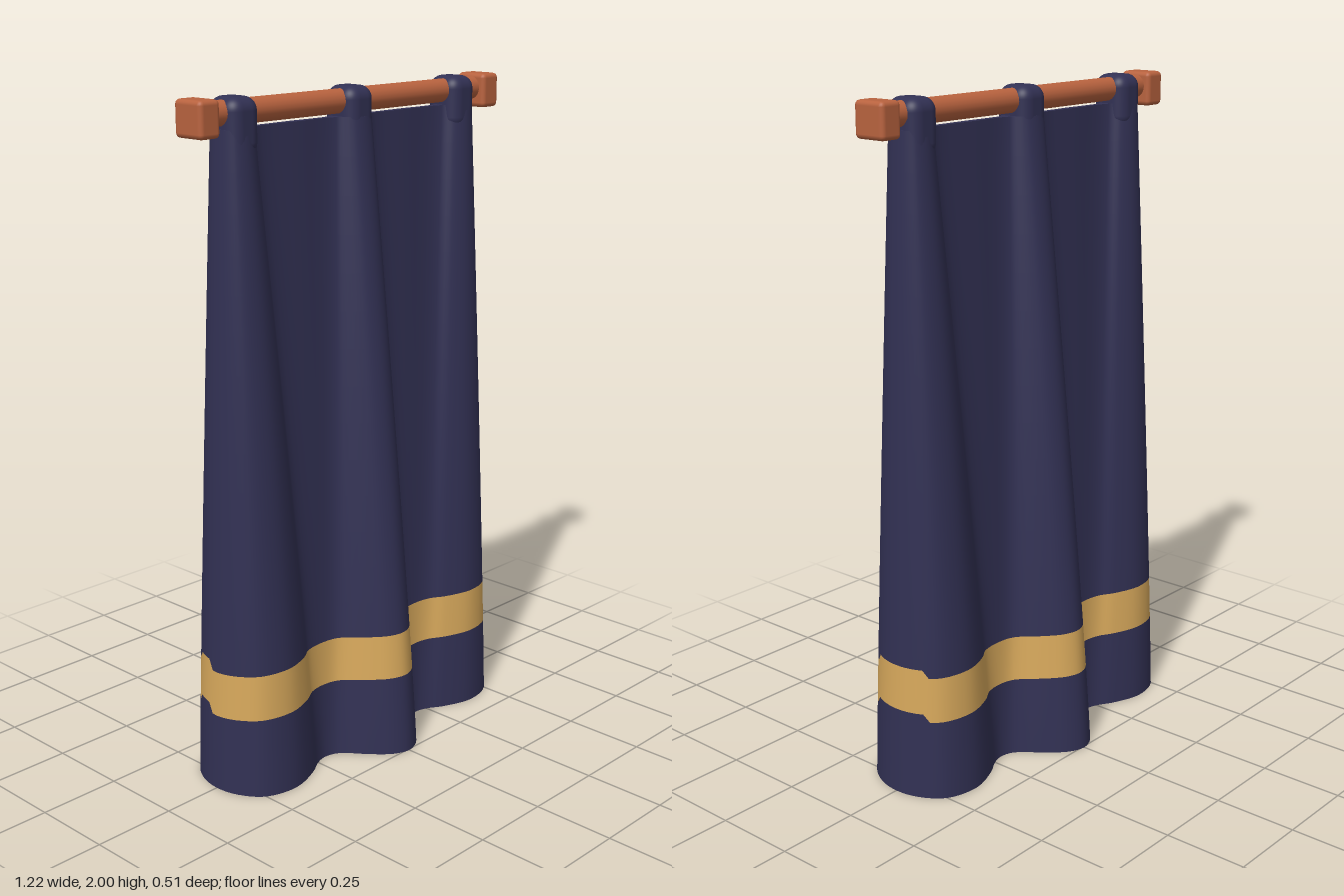
import * as THREE from 'three';
import { RoundedBoxGeometry } from 'three/addons/geometries/RoundedBoxGeometry.js';

const TOP = 1.915; // height of the cloth edge between the loops

// One quarter of the cloth outline: [x, z at the hem, x, z at the top]
const QUARTER = [
  [0.565, 0, 0.505, 0],
  [0.55, 0.075, 0.5, 0.03],
  [0.5, 0.143, 0.485, 0.05],
  [0.4, 0.168, 0.448, 0.058],
  [0.3, 0.137, 0.41, 0.044],
  [0.25, 0.108, 0.385, 0.016],
  [0.21, 0.098, 0.22, 0.012],
  [0.165, 0.112, 0.07, 0.016],
  [0.1, 0.19, 0.048, 0.042],
  [0.05, 0.238, 0.03, 0.055],
  [0, 0.255, 0, 0.06],
];

// Mirror the quarter into a closed loop running +x, +z, -x, -z
const half = [...QUARTER, ...QUARTER.slice(0, -1).reverse().map(([a, b, c, d]) => [-a, b, -c, d])];
const LOOP = [...half, ...half.slice(1, -1).reverse().map(([a, b, c, d]) => [a, -b, c, -d])];
const COUNT = LOOP.length * 4;

// Smooth outline of the cloth at height y
function outline(y) {
  const t = Math.pow(Math.min(y / TOP, 1), 1.1);
  const points = LOOP.map(([x0, z0, x1, z1]) =>
    new THREE.Vector3(x0 + (x1 - x0) * t, y, z0 + (z1 - z0) * t));
  const curve = new THREE.CatmullRomCurve3(points, true, 'centripetal');
  return Array.from({ length: COUNT }, (_, i) => curve.getPoint(i / COUNT));
}

// The trim sits a little higher on the folds and steps up at the ends
function trimLift(p) {
  if (Math.abs(p.z) < 0.1 && (p.x > 0.5 || (p.x < -0.5 && p.z < -0.03))) return 0.025;
  return 0.06 * (Math.abs(p.z) - 0.1);
}

const hem = outline(0.3).map(trimLift);
const trimLow = (i) => 0.238 + hem[i];
const trimHigh = (i) => 0.374 + hem[i];

// Closed skin between two edge heights, given per outline point
function skin(low, high, rows) {
  const base = outline(0), mid = outline(0.3), pos = [], index = [];
  for (let r = 0; r <= rows; r++) {
    const f = r / rows;
    const average = (low(COUNT >> 2) * (1 - f)) + high(COUNT >> 2) * f;
    const ring = outline(average);
    for (let i = 0; i < COUNT; i++) {
      const y = low(i) * (1 - f) + high(i) * f;
      // follow the slope of the cloth where an edge is stepped
      const k = (y - average) / 0.3;
      pos.push(ring[i].x + (mid[i].x - base[i].x) * k, y, ring[i].z + (mid[i].z - base[i].z) * k);
    }
  }
  for (let r = 0; r < rows; r++) {
    for (let i = 0; i < COUNT; i++) {
      const j = (i + 1) % COUNT;
      const a = r * COUNT + i, b = r * COUNT + j;
      index.push(a, a + COUNT, b, b, a + COUNT, b + COUNT);
    }
  }
  const geometry = new THREE.BufferGeometry();
  geometry.setAttribute('position', new THREE.Float32BufferAttribute(pos, 3));
  geometry.setIndex(index);
  geometry.computeVertexNormals();
  return geometry;
}

export function createModel() {
  const group = new THREE.Group();
  const material = (name, color, side = THREE.FrontSide) => {
    const m = new THREE.MeshStandardMaterial({ color, side });
    m.name = name;
    return m;
  };
  const navy = material('navy cloth', 0x323154, THREE.DoubleSide);
  const gold = material('gold trim', 0xd8a95c, THREE.DoubleSide);
  const copper = material('copper', 0xb9633f);

  const add = (name, geometry, mat, x = 0, y = 0, z = 0) => {
    const mesh = new THREE.Mesh(geometry, mat);
    mesh.name = name;
    mesh.position.set(x, y, z);
    group.add(mesh);
    return mesh;
  };

  // Draped cloth, open at the bottom, with a band near the hem
  add('lowerCloth', skin(() => 0, trimLow, 3), navy);
  add('trimBand', skin(trimLow, trimHigh, 2), gold);
  add('upperCloth', skin(trimHigh, () => TOP, 14), navy);

  // Narrow top edge joining front and back
  const edge = new THREE.Shape(outline(TOP).map((p) => new THREE.Vector2(p.x, -p.z)));
  add('topEdge', new THREE.ShapeGeometry(edge).rotateX(-Math.PI / 2), navy, 0, TOP, 0);

  // Loops over the rod
  for (const x of [-0.447, 0, 0.447]) {
    add('loop', new RoundedBoxGeometry(0.106, 0.16, 0.118, 5, 0.038), navy, x, 1.92, 0);
  }

  // Rod with a block at each end
  add('rod', new THREE.CylinderGeometry(0.035, 0.035, 1.1, 20).rotateZ(Math.PI / 2), copper, 0, 1.957, 0);
  for (const side of [-1, 1]) {
    add('rodEnd', new RoundedBoxGeometry(0.072, 0.102, 0.106, 2, 0.014), copper, side * 0.573, 1.949, 0);
  }
  return group;
}
